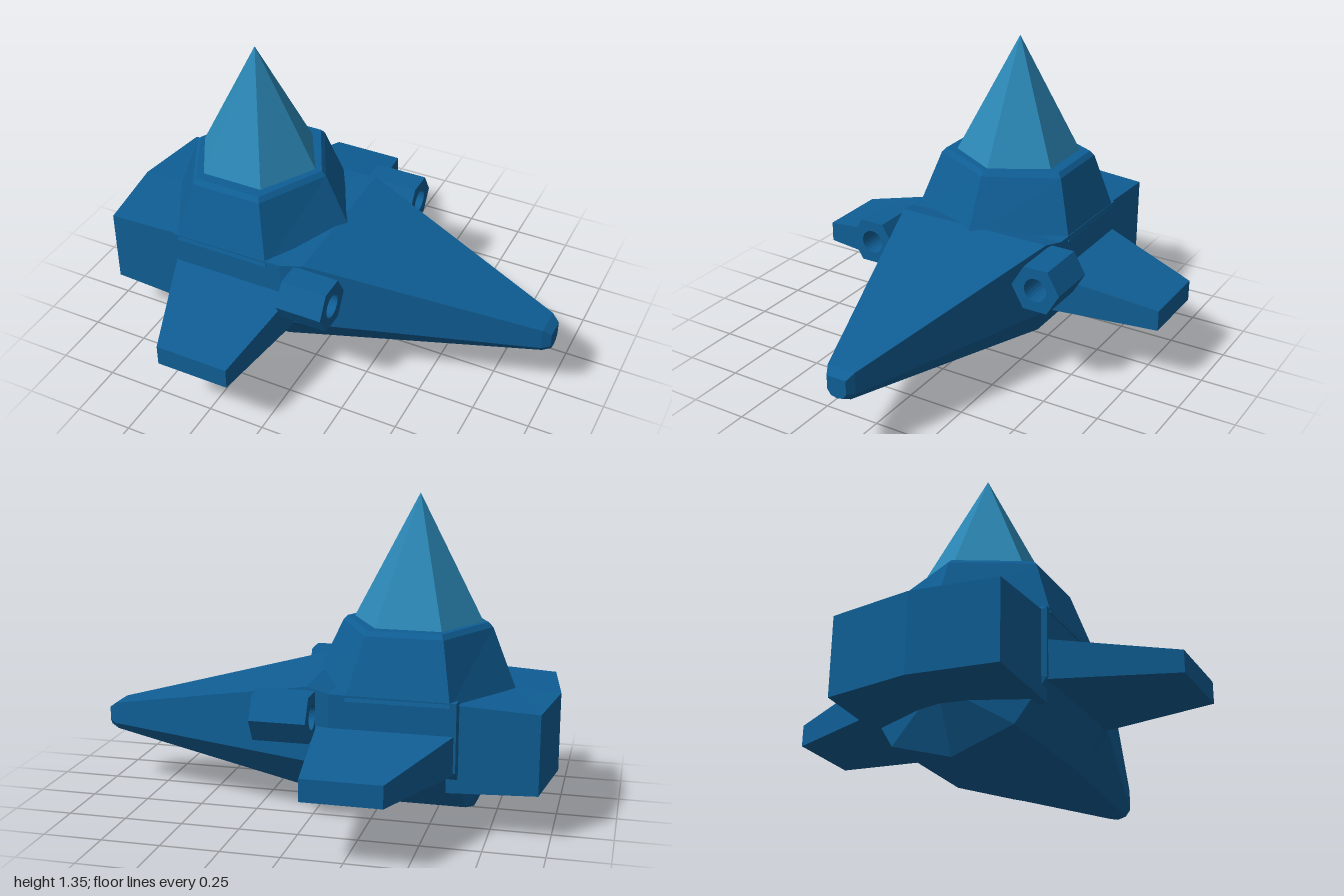
import * as THREE from 'three';

const hullBlue = new THREE.MeshStandardMaterial({ color: 0x0f5e95 });
const canopyBlue = new THREE.MeshStandardMaterial({ color: 0x2b87b5 });
hullBlue.name = 'hullBlue';
canopyBlue.name = 'canopyBlue';

// Flat-faced skin over a list of rings, closed by a fan at each end.
// Rings run counter-clockwise as seen from the last ring's end.
function loft(rings, startTip, endTip) {
  const pos = [];
  const tri = (...pts) => pts.forEach((p) => pos.push(...p));
  const middle = (ring) => [0, 1, 2].map((k) => ring.reduce((s, p) => s + p[k], 0) / ring.length);
  const n = rings[0].length;
  const first = rings[0], last = rings[rings.length - 1];
  const start = startTip || middle(first), end = endTip || middle(last);
  for (let j = 0; j < n; j++) {
    const k = (j + 1) % n;
    for (let i = 0; i + 1 < rings.length; i++) {
      const [a, b, c, d] = [rings[i][j], rings[i][k], rings[i + 1][k], rings[i + 1][j]];
      tri(a, b, c);
      tri(a, c, d);
    }
    tri(start, first[k], first[j]);
    tri(end, last[j], last[k]);
  }
  const g = new THREE.BufferGeometry();
  g.setAttribute('position', new THREE.Float32BufferAttribute(pos, 3));
  g.computeVertexNormals();
  return g;
}

// Hull cross-section: keel, chines, sides and flat deck
function hullRing(x, keelX, keel, chineZ, chineY, sideZ, sideY, deckY, deckZ = sideZ) {
  return [
    [keelX, keel, 0],
    [keelX, chineY, -chineZ], [x, sideY, -sideZ], [x, deckY, -deckZ],
    [x, deckY, deckZ], [x, sideY, sideZ], [keelX, chineY, chineZ],
  ];
}

// Hexagon in plan with corners at both x ends
function planHex(cx, y, rx, rz) {
  return [[1, 0], [0.5, -1], [-0.5, -1], [-1, 0], [-0.5, 1], [0.5, 1]]
    .map(([u, v]) => [cx + u * rx, y, v * rz]);
}

export function createModel() {
  const model = new THREE.Group();
  model.name = 'spaceship';
  const add = (name, geometry, material = hullBlue) => {
    const mesh = new THREE.Mesh(geometry, material);
    mesh.name = name;
    model.add(mesh);
    return mesh;
  };

  // Hull with long tapered nose and pointed stern
  add('hull', loft([
    hullRing(-0.62, -0.65, 0.005, 0.26, 0.09, 0.38, 0.27, 0.56),
    hullRing(-0.1, -0.13, 0, 0.26, 0.09, 0.38, 0.27, 0.565),
    hullRing(0, 0, 0.03, 0.235, 0.11, 0.36, 0.268, 0.585),
    hullRing(0.965, 0.965, 0.235, 0.04, 0.245, 0.064, 0.275, 0.37),
    hullRing(1, 1, 0.255, 0.03, 0.262, 0.045, 0.285, 0.345),
  ], [-0.77, 0.25, 0]));

  // Engine block with a shallow pointed back
  const block = (front, rear) => [
    [-0.58, front, 0.36], [-0.58, front, -0.36],
    [-0.95, rear, -0.355], [-1, rear, 0], [-0.95, rear, 0.355],
  ];
  add('engineBlock', loft([block(0.18, 0.195), block(0.55, 0.53)]));

  // Tower, chamfered around its top
  add('tower', loft([
    planHex(-0.38, 0.54, 0.43, 0.385),
    planHex(-0.39, 0.795, 0.32, 0.303),
    planHex(-0.39, 0.815, 0.3, 0.285),
  ]));

  // Six-sided pointed canopy
  const cone = new THREE.ConeGeometry(0.285, 0.55, 6, 1, false, Math.PI / 2).toNonIndexed();
  cone.computeVertexNormals();
  add('canopy', cone, canopyBlue).position.set(-0.395, 1.07, 0);

  // Cannon profile: hexagon with a round bore
  const profile = new THREE.Shape(
    Array.from({ length: 6 }, (_, i) => new THREE.Vector2(
      0.111 * Math.cos(i * Math.PI / 3), 0.111 * Math.sin(i * Math.PI / 3))));
  profile.holes.push(new THREE.Path().absarc(0, 0, 0.052, 0, Math.PI * 2, true));

  for (const side of [1, -1]) {
    const label = side > 0 ? 'front' : 'back';

    // Tapered wing
    const root = [[-0.63, 0.26], [-0.04, 0.26], [-0.04, 0.43], [-0.63, 0.43]]
      .map(([x, y]) => [x, y, side * 0.33]);
    const tip = [[-0.425, 0.27], [-0.1, 0.27], [-0.1, 0.362], [-0.425, 0.362]]
      .map(([x, y]) => [x, y, side * 0.845]);
    add(label + 'Wing', loft(side > 0 ? [root, tip] : [tip, root]));

    // Cannon tube beside the nose
    const tube = new THREE.ExtrudeGeometry(profile, {
      depth: side > 0 ? 0.205 : 0.235, bevelEnabled: false, curveSegments: 12,
    });
    tube.rotateY(Math.PI / 2);
    add(label + 'Cannon', tube).position.set(-0.04, 0.475, side * 0.418);
  }
  return model;
}
